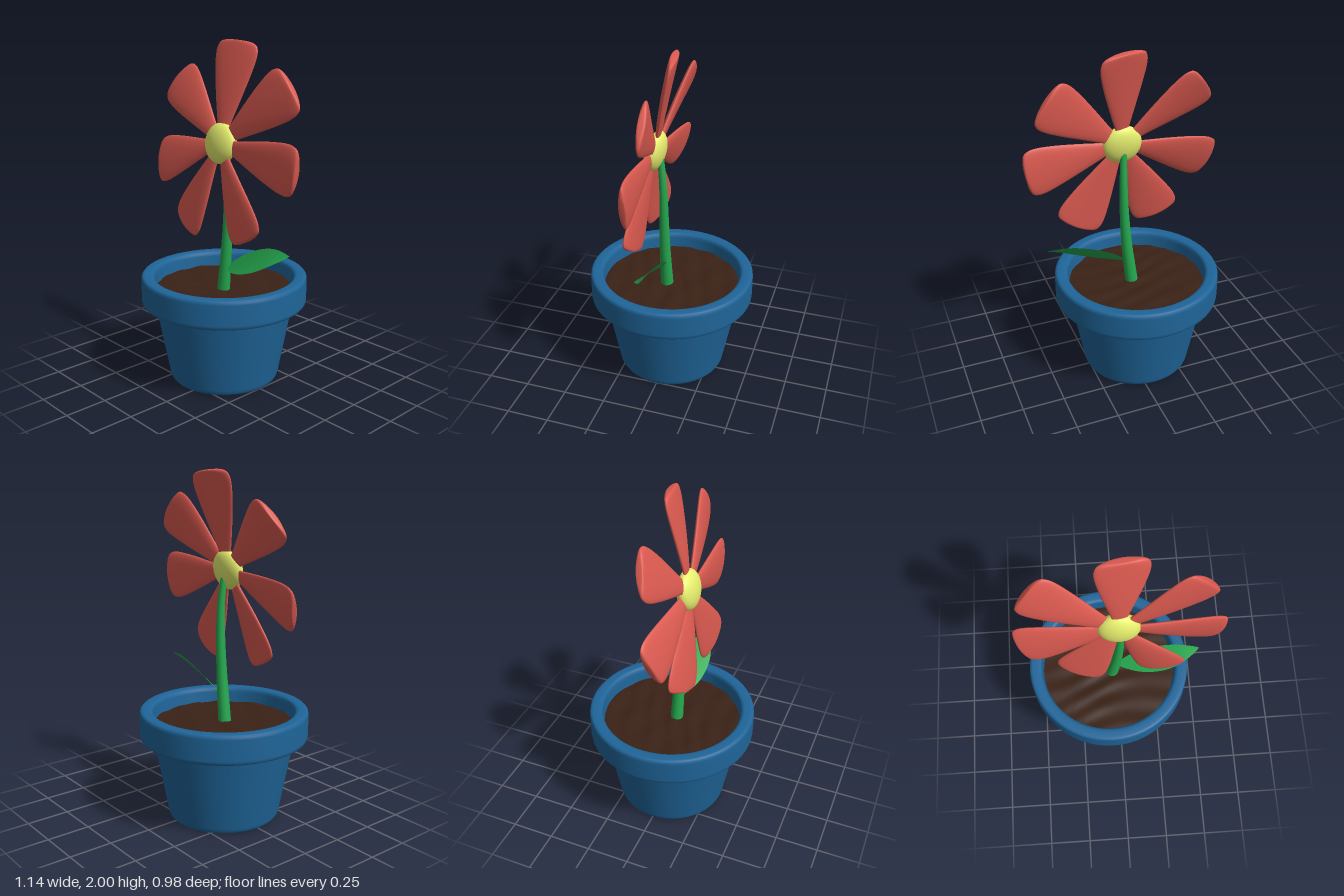
import * as THREE from 'three';
import { mergeVertices } from 'three/addons/utils/BufferGeometryUtils.js';

const mat = (color, side = THREE.FrontSide) => new THREE.MeshStandardMaterial({ color, side });
const V2 = (p) => new THREE.Vector2(p[0], p[1]);
const V3 = (p) => new THREE.Vector3(...p);

function mesh(name, geometry, material) {
  const m = new THREE.Mesh(geometry, material);
  m.name = name;
  return m;
}

// Moves every vertex by a rule, then welds seams and smooths
function reshape(geometry, rule) {
  const pos = geometry.attributes.position, v = new THREE.Vector3();
  for (let i = 0; i < pos.count; i++) {
    v.fromBufferAttribute(pos, i);
    rule(v, i);
    pos.setXYZ(i, v.x, v.y, v.z);
  }
  geometry.deleteAttribute('uv');
  geometry.deleteAttribute('normal');
  const welded = mergeVertices(geometry, 1e-5);
  welded.computeVertexNormals();
  return welded;
}

// Pot with a thick rolled rim
function potGeometry() {
  const profile = [
    [0, 0], [0.29, 0], [0.305, 0.001], [0.318, 0.006], [0.325, 0.018], [0.329, 0.035],
    [0.405, 0.44], [0.409, 0.46], [0.418, 0.47], [0.43, 0.472], [0.465, 0.472], [0.48, 0.476],
    [0.488, 0.485], [0.49, 0.5], [0.49, 0.62], [0.488, 0.634], [0.481, 0.642], [0.47, 0.645],
    [0.435, 0.645], [0.422, 0.641], [0.414, 0.632], [0.411, 0.615], [0.402, 0.5],
  ];
  return new THREE.LatheGeometry(profile.map(V2), 64);
}

// Soil disc with small ripples
function soilGeometry() {
  const disc = new THREE.RingGeometry(0.0001, 0.408, 72, 30).rotateX(-Math.PI / 2);
  return reshape(disc, (v) => {
    const warp = 2 * Math.sin(5 * v.x + 1) + Math.sin(9 * v.x + 7 * v.z);
    v.y = 0.003 * Math.sin(48 * v.z + 9 * v.x + warp) + 0.002 * Math.sin(27 * v.z - 14 * v.x);
  });
}

// Tapered, gently bent stem
function stemGeometry() {
  const rings = 40, sides = 20;
  const path = new THREE.CatmullRomCurve3([
    [-0.045, 0.5, 0.022], [-0.027, 0.65, 0.025], [-0.008, 0.82, 0.027],
    [0.005, 1.02, 0.028], [0.008, 1.22, 0.032], [0, 1.42, 0.05],
  ].map(V3));
  const tube = new THREE.TubeGeometry(path, rings, 1, sides);
  return reshape(tube, (v, i) => {
    const t = Math.floor(i / (sides + 1)) / rings;
    const c = path.getPointAt(t);
    v.sub(c).multiplyScalar(0.039 - 0.021 * t).add(c);
  });
}

// Thin curved leaf: a plane swept along its midrib
function leafGeometry() {
  const midrib = new THREE.CatmullRomCurve3([
    [-0.01, 0.69, 0.03], [0.11, 0.735, 0.042], [0.25, 0.79, 0.045], [0.37, 0.838, 0.036], [0.48, 0.872, 0.018],
  ].map(V3));
  const across = new THREE.Vector3(-0.025, 0.05, -0.06);
  return reshape(new THREE.PlaneGeometry(1, 2, 32, 10), (v) => {
    const t = v.x + 0.5, s = v.y;
    const width = Math.pow(Math.sin(Math.PI * Math.pow(t, 0.92)), 0.85);
    v.copy(midrib.getPoint(t)).addScaledVector(across, s * width);
    v.y += 0.008 * s * s * width;
  });
}

// Petal: a turned outline flattened and curled slightly backwards
function petalGeometry() {
  const outline = new THREE.CatmullRomCurve3([
    [0, 0.04, 0], [0.03, 0.06, 0], [0.05, 0.13, 0], [0.085, 0.25, 0], [0.12, 0.38, 0], [0.139, 0.475, 0],
    [0.139, 0.52, 0], [0.125, 0.551, 0], [0.09, 0.566, 0], [0.045, 0.571, 0], [0, 0.572, 0],
  ].map(V3));
  const points = outline.getPoints(60).map((p) => new THREE.Vector2(Math.max(p.x, 0), p.y));
  points[0].x = points[60].x = 0;
  return reshape(new THREE.LatheGeometry(points, 36), (v) => {
    const r = Math.hypot(v.x, v.z);
    const half = 0.024 * (1 - Math.exp(-r / 0.045));
    if (r > 1e-6) v.z *= half / r;
    v.z -= 0.025 * (v.y / 0.57) ** 2;
  });
}

export function createModel() {
  const model = new THREE.Group();
  model.name = 'pottedFlower';
  const green = mat(0x25a84e);

  const pot = mesh('pot', potGeometry(), mat(0x1f6599, THREE.DoubleSide));
  pot.position.x = -0.06;
  const soil = mesh('soil', soilGeometry(), mat(0x3a2115, THREE.DoubleSide));
  soil.position.set(-0.06, 0.555, 0);
  model.add(pot, soil, mesh('stem', stemGeometry(), green));
  model.add(mesh('leaf', leafGeometry(), mat(0x25a84e, THREE.DoubleSide)));

  // Flower head, leaning back a little
  const flower = new THREE.Group();
  flower.name = 'flowerHead';
  flower.position.set(0, 1.435, 0.077);
  flower.rotation.x = -0.16;
  const center = mesh('flowerCenter', new THREE.SphereGeometry(0.116, 40, 28), mat(0xe6ee6e));
  center.scale.z = 0.48;
  flower.add(center);

  // Seven petals, each turned about its own axis like a pinwheel
  const petal = petalGeometry(), red = mat(0xdb5a50);
  [87, 37, -9.5, -62.5, -116, -163, 143].forEach((angle, i) => {
    const p = mesh(`petal${i + 1}`, petal, red);
    p.rotation.set(0, 0.16, THREE.MathUtils.degToRad(angle - 90), 'ZYX');
    flower.add(p);
  });
  model.add(flower);
  return model;
}
